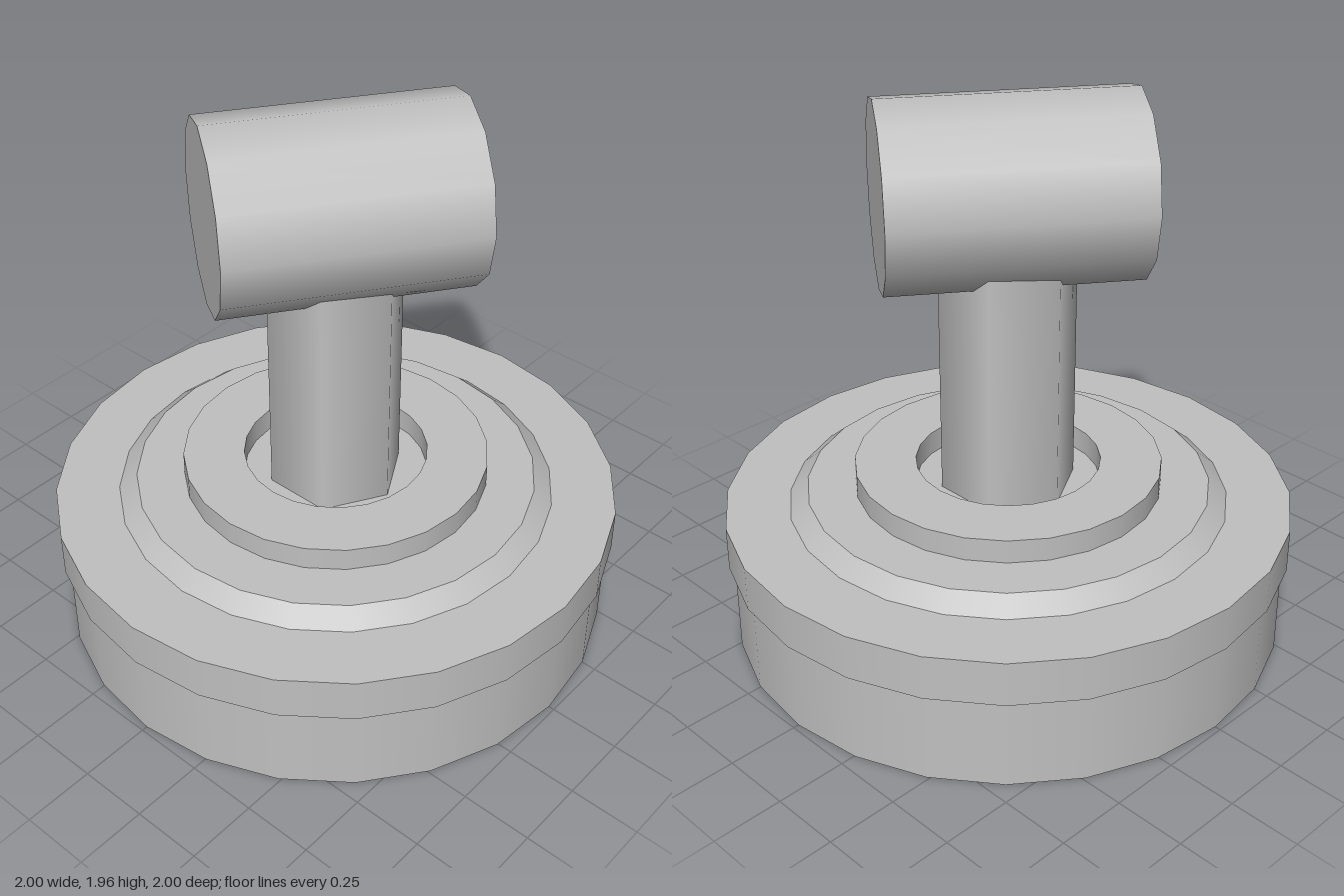
import * as THREE from 'three';
import { mergeGeometries } from 'three/addons/utils/BufferGeometryUtils.js';

const metal = new THREE.MeshStandardMaterial({ color: 0xc0c0c0 });
metal.name = 'grey metal';

// Turned part: smooth around the axis, sharp at every profile corner.
// The profile [radius, height] runs from the bottom up the outside.
function turned(profile, sides) {
  const bands = [];
  for (let i = 0; i < profile.length - 1; i++) {
    const pair = [profile[i], profile[i + 1]].map(([r, y]) => new THREE.Vector2(r, y));
    bands.push(new THREE.LatheGeometry(pair, sides));
  }
  return mergeGeometries(bands);
}

export function createModel() {
  const model = new THREE.Group();
  model.name = 'model';

  const add = (name, geometry) => {
    const mesh = new THREE.Mesh(geometry, metal);
    mesh.name = name;
    model.add(mesh);
    return mesh;
  };

  // Round foot
  add('base', turned([[0, 0], [0.98, 0], [0.98, 0.33], [1, 0.33]], 24));

  // Wider rim with a bevelled step on top
  add('rim', turned([[1, 0.33], [1, 0.49], [0.775, 0.49], [0.71, 0.545], [0, 0.545]], 24));

  // Raised ring around the post, open in the middle
  add('collar', turned([[0.54, 0.545], [0.54, 0.63], [0.325, 0.63], [0.325, 0.545]], 24));

  // Six-sided post with corners on the x axis
  const post = add('post', new THREE.CylinderGeometry(0.24, 0.24, 0.97, 6));
  post.position.y = 0.545 + 0.97 / 2;
  post.rotation.y = Math.PI / 6;

  // Horizontal drum on top, turned about the post
  const headGeometry = new THREE.CylinderGeometry(0.325, 0.325, 0.865, 12);
  headGeometry.rotateX(Math.PI / 2);
  const head = add('head', headGeometry);
  head.position.y = 1.635;
  head.rotation.y = -0.616;

  return model;
}
